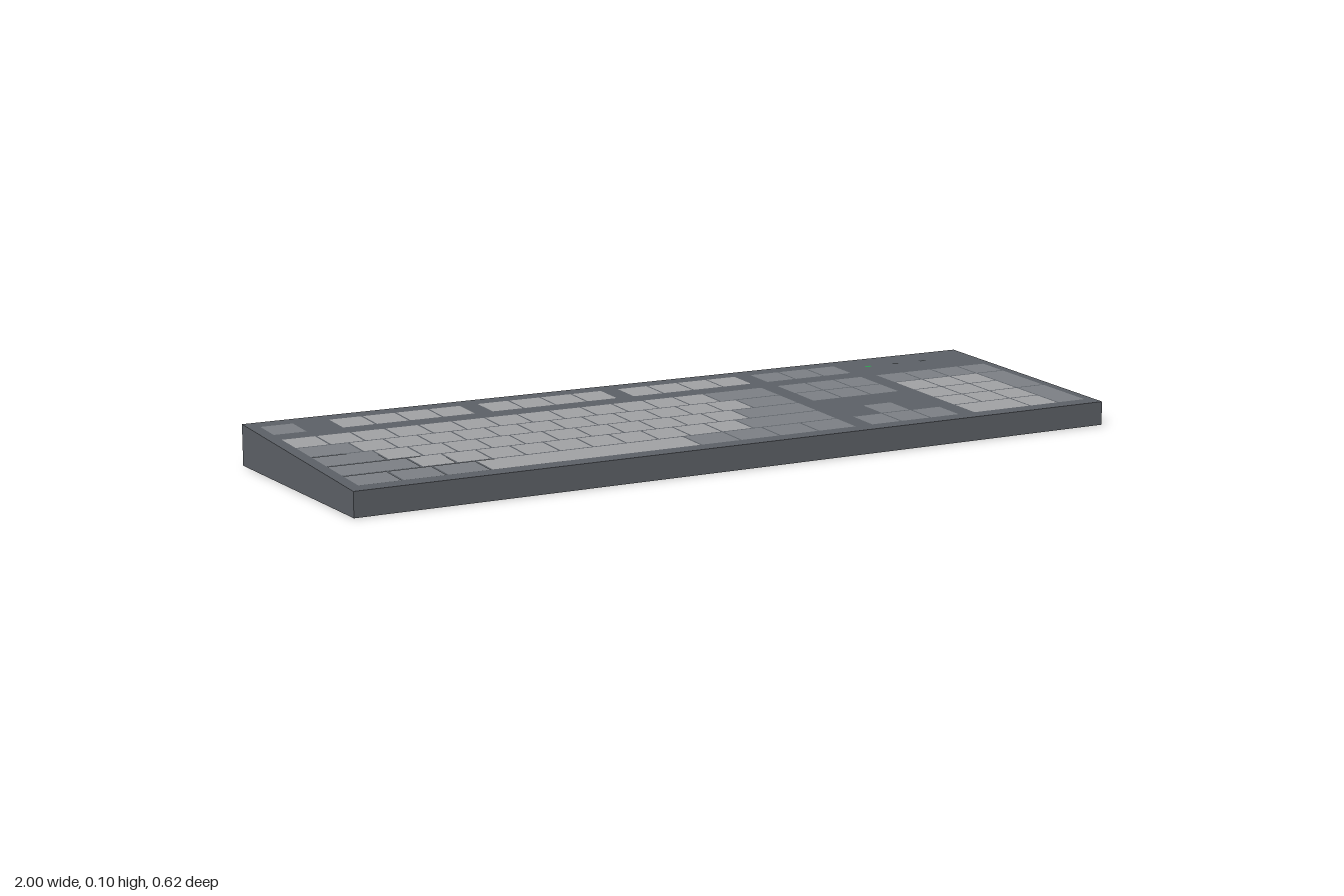
import * as THREE from 'three';

const HALF_DEPTH = 0.31, FRONT_H = 0.058, BACK_H = 0.097;
const SLOPE = Math.atan2(BACK_H - FRONT_H, 2 * HALF_DEPTH);
const U = 0.0848;          // one key unit
const ROW = 0.0843;        // row pitch
const X0 = -11.5 * U;      // left edge of the key field (23 units wide)
const Z0 = -0.144;         // back edge of the number row
const GAP = 0.005;

const mat = (color, side = THREE.FrontSide) => new THREE.MeshStandardMaterial({ color, side });
const topY = (z) => FRONT_H + (BACK_H - FRONT_H) * (HALF_DEPTH - z) / (2 * HALF_DEPTH);

// Thin tile lying on the sloping top
function tile(name, x, z, w, d, material) {
  const mesh = new THREE.Mesh(new THREE.PlaneGeometry(w, d), material);
  mesh.name = name;
  mesh.rotation.x = -Math.PI / 2 + SLOPE;
  mesh.position.set(x, topY(z) + 0.0008, z);
  return mesh;
}

// Wedge-shaped shell, open underneath
function createCase() {
  const geo = new THREE.BoxGeometry(2, 1, 2 * HALF_DEPTH);
  const p = geo.attributes.position;
  for (let i = 0; i < p.count; i++) p.setY(i, p.getY(i) > 0 ? topY(p.getZ(i)) : 0);
  const index = Array.from(geo.index.array);
  index.splice(18, 6); // drop the bottom face
  geo.setIndex(index);
  geo.clearGroups();
  geo.computeVertexNormals();
  const mesh = new THREE.Mesh(geo, mat(0x5b5f65, THREE.DoubleSide));
  mesh.name = 'case';
  return mesh;
}

export function createModel() {
  const model = new THREE.Group();
  model.name = 'keyboard';
  model.add(createCase());

  const light = mat(0x9e9fa1), grey = mat(0x7a7e83);

  const block = (name) => {
    const group = new THREE.Group();
    group.name = name;
    model.add(group);
    return group;
  };
  // Key at column u (in units) and row, w units wide and h rows deep
  const key = (group, name, u, row, w, material, h = 1) => {
    const z = (row < 0 ? -0.27 : Z0 + row * ROW) + h * ROW / 2;
    group.add(tile(name, X0 + (u + w / 2) * U, z, w * U - GAP, h * ROW - GAP, material));
  };
  const run = (group, name, u, row, count, material, w = 1) => {
    for (let i = 0; i < count; i++) key(group, name, u + i * w, row, w, material);
  };

  // Separate row along the back
  const back = block('topRow');
  key(back, 'escapeKey', 0, -1, 1, grey);
  for (const u of [2, 6.5, 11]) run(back, 'topRowKey', u, -1, 4, light);

  // Main block: modifier width at the left, then letter keys, then a modifier to 15 units
  const main = block('mainKeys');
  [[0, 13], [1.5, 12], [1.75, 11], [2.25, 10]].forEach(([left, count], row) => {
    if (left) key(main, 'modifierKey', 0, row, left, grey);
    run(main, 'letterKey', left, row, count, light);
    key(main, 'modifierKey', left + count, row, 15 - left - count, grey);
  });
  run(main, 'modifierKey', 0, 4, 3, grey, 1.25);
  key(main, 'spaceBar', 3.75, 4, 6.25, light);
  run(main, 'modifierKey', 10, 4, 4, grey, 1.25);

  // Navigation and arrow keys
  const nav = block('navigationKeys');
  for (const row of [-1, 0, 1]) run(nav, 'navigationKey', 15.5, row, 3, grey);
  key(nav, 'arrowKey', 16.5, 3, 1, grey);
  run(nav, 'arrowKey', 15.5, 4, 3, grey);

  // Number pad
  const pad = block('numberPad');
  run(pad, 'operatorKey', 19, 0, 4, grey);
  for (const row of [1, 2, 3]) run(pad, 'numberKey', 19, row, 3, light);
  key(pad, 'zeroKey', 19, 4, 2, light);
  key(pad, 'pointKey', 21, 4, 1, light);
  for (const row of [1, 3]) key(pad, 'tallKey', 22, row, 1, grey, 2);

  // Status lights
  const lights = block('statusLights');
  [0x2f9a4f, 0x33373a, 0x33373a].forEach((color, i) => {
    lights.add(tile('statusLight', 0.675 + i * 0.084, -0.232, 0.018, 0.01, mat(color)));
  });

  return model;
}
